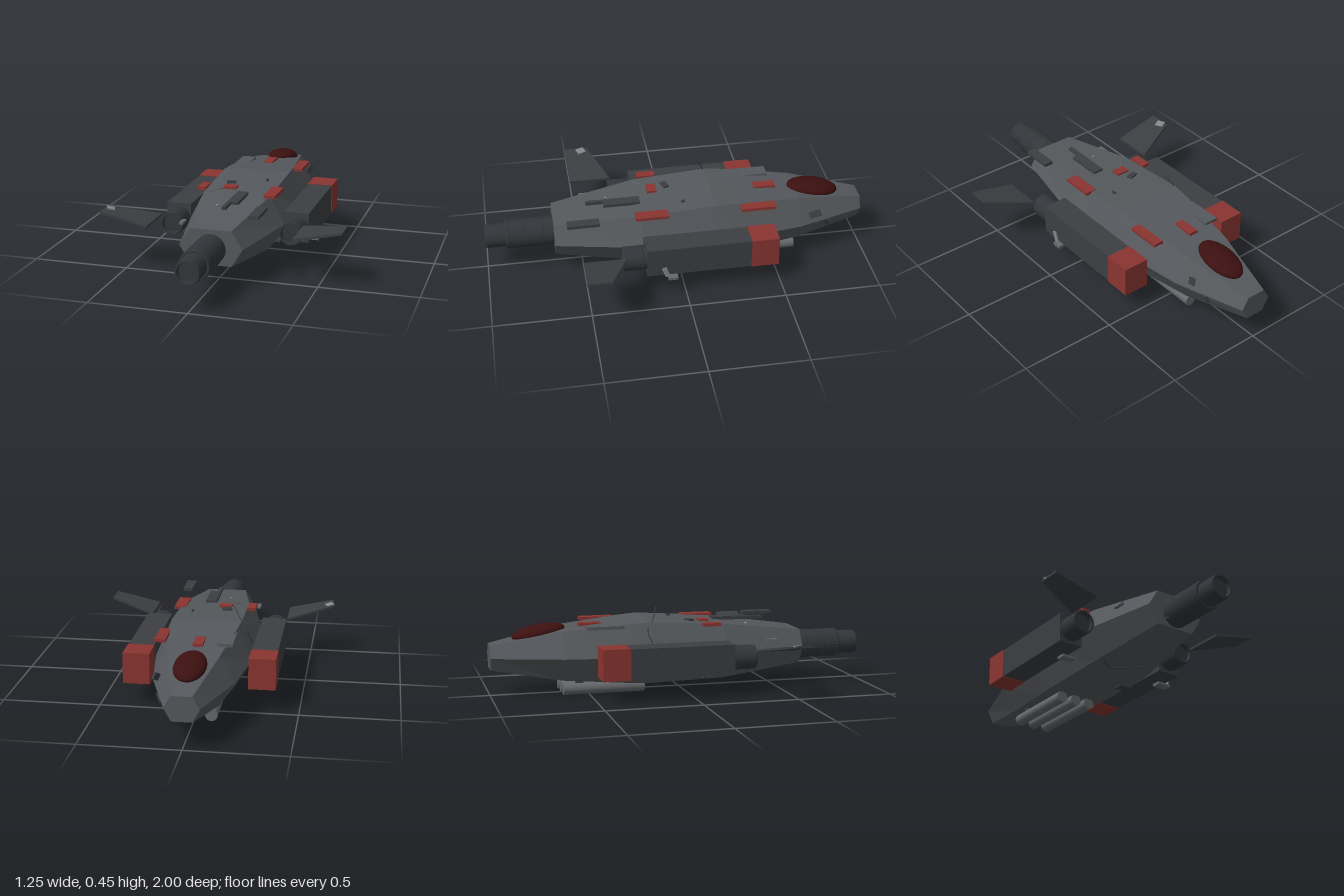
import * as THREE from 'three';

const mat = (color, extra = {}) => new THREE.MeshStandardMaterial({ color, ...extra });
const hullMat = mat(0x55585c, { flatShading: true });
const podMat = mat(0x3c3e42, { flatShading: true });
const engineMat = mat(0x33353a, { side: THREE.DoubleSide });
const redMat = mat(0x8a3530, { flatShading: true });
const glassMat = mat(0x3c1010);
const greyMat = mat(0x66686b);
const paleMat = mat(0x85878a);

function add(parent, name, geometry, material, pos = [0, 0, 0], rot = [0, 0, 0]) {
  const m = new THREE.Mesh(geometry, material);
  m.name = name;
  m.position.set(...pos);
  m.rotation.set(...rot);
  parent.add(m);
  return m;
}
const box = (w, h, d) => new THREE.BoxGeometry(w, h, d);

// Hexagonal hull lofted along z: [z, topY, bottomY, topHalf, midHalf, bottomHalf]
function hullGeometry() {
  const sections = [
    [-1, 0.275, 0.15, 0.05, 0.085, 0.05],
    [-0.64, 0.345, 0.092, 0.125, 0.2, 0.12],
    [-0.3, 0.378, 0.07, 0.17, 0.248, 0.16],
    [-0.19, 0.385, 0.066, 0.18, 0.25, 0.17],
    [0.2, 0.36, 0.075, 0.175, 0.25, 0.165],
    [0.645, 0.305, 0.125, 0.105, 0.16, 0.105],
  ];
  const pos = [], idx = [];
  for (const [z, top, bot, t, w, b] of sections) {
    for (const [x, y] of [[t, top], [-t, top], [-w, 0.215], [-b, bot], [b, bot], [w, 0.215]]) pos.push(x, y, z);
  }
  const last = (sections.length - 1) * 6;
  for (let i = 0; i < last; i += 6) {
    for (let j = 0; j < 6; j++) {
      const k = (j + 1) % 6;
      idx.push(i + j, i + k, i + 6 + k, i + j, i + 6 + k, i + 6 + j);
    }
  }
  for (let j = 1; j < 5; j++) idx.push(0, j + 1, j, last, last + j, last + j + 1);
  const g = new THREE.BufferGeometry();
  g.setAttribute('position', new THREE.Float32BufferAttribute(pos, 3));
  g.setIndex(idx);
  const flat = g.toNonIndexed();
  flat.computeVertexNormals();
  return flat;
}

// Round nozzle with a recessed mouth, running along +z
function nozzle(r, length) {
  const pts = [[r * 0.95, 0], [r, 0.01], [r, length - 0.01], [r * 0.96, length],
    [r * 0.82, length], [r * 0.78, length - 0.025], [0, length - 0.025]];
  const g = new THREE.LatheGeometry(pts.map(([x, y]) => new THREE.Vector2(x, y)), 28).toNonIndexed();
  g.rotateX(Math.PI / 2);
  g.computeVertexNormals();
  return g;
}

// Swept wing plate rising toward its tip
function wingGeometry(side) {
  const shape = new THREE.Shape([[0.375, 0.3], [0.622, 0.4], [0.622, 0.525], [0.375, 0.52]]
    .map(([x, z]) => new THREE.Vector2(x * side, z)));
  const g = new THREE.ExtrudeGeometry(shape, { depth: 0.012, bevelEnabled: false });
  g.rotateX(Math.PI / 2);
  const p = g.attributes.position;
  for (let i = 0; i < p.count; i++) p.setY(i, p.getY(i) + 0.252 + (Math.abs(p.getX(i)) - 0.375) * 0.22);
  g.computeVertexNormals();
  return g;
}

function cableGeometry(points, r = 0.002) {
  return new THREE.TubeGeometry(new THREE.CatmullRomCurve3(points.map(p => new THREE.Vector3(...p))), 12, r, 6);
}

export function createModel() {
  const ship = new THREE.Group();
  ship.name = 'ship';
  add(ship, 'hull', hullGeometry(), hullMat);

  // Canopy, tilted to follow the nose
  const canopy = add(ship, 'canopy', new THREE.SphereGeometry(1, 28, 18), glassMat, [0, 0.328, -0.745], [-0.17, 0, 0]);
  canopy.scale.set(0.08, 0.042, 0.14);

  // Main engine in two steps
  add(ship, 'mainEngine', nozzle(0.076, 0.265), engineMat, [0, 0.207, 0.63]);
  add(ship, 'mainNozzle', nozzle(0.063, 0.14), engineMat, [0, 0.207, 0.86]);
  for (const z of [0.7, 0.8, 0.88]) {
    add(ship, 'engineBand', new THREE.TorusGeometry(0.075, 0.003, 6, 28), engineMat, [0, 0.207, z]);
  }

  // Side pods, intakes, nozzles and wings
  for (const s of [-1, 1]) {
    const side = new THREE.Group();
    side.name = s > 0 ? 'leftSide' : 'rightSide';
    ship.add(side);
    add(side, 'pod', box(0.13, 0.155, 0.54), podMat, [s * 0.315, 0.207, -0.07]);
    add(side, 'podIntake', box(0.136, 0.16, 0.142), redMat, [s * 0.315, 0.207, -0.412]);
    add(side, 'podNozzle', nozzle(0.062, 0.13), engineMat, [s * 0.315, 0.207, 0.19]);
    add(side, 'podNozzleCollar', new THREE.TorusGeometry(0.06, 0.004, 6, 28), engineMat, [s * 0.315, 0.207, 0.22]);
    add(side, 'wing', wingGeometry(s), podMat);
  }

  // Three tubes under the belly
  for (const x of [-0.085, 0, 0.085]) {
    const tube = new THREE.CylinderGeometry(0.031, 0.031, 0.425, 20).rotateX(Math.PI / 2);
    add(ship, 'bellyTube', tube, greyMat, [x, 0.041, -0.422]);
    for (const z of [-0.55, -0.29]) add(ship, 'tubeMount', box(0.02, 0.04, 0.04), podMat, [x, 0.08, z]);
  }

  // Raised panels on the back: [x, z, width, length, y, material]
  const panels = [
    [-0.005, -0.48, 0.05, 0.115, 0.363, redMat],
    [0.19, -0.41, 0.055, 0.18, 0.365, redMat],
    [-0.2, 0.125, 0.045, 0.095, 0.365, redMat],
    [-0.058, 0.115, 0.07, 0.05, 0.368, redMat],
    [0.18, 0.145, 0.062, 0.17, 0.364, redMat],
    [-0.138, -0.425, 0.075, 0.19, 0.362, hullMat],
    [0.033, 0.285, 0.054, 0.19, 0.364, podMat],
    [0.012, 0.33, 0.02, 0.28, 0.362, podMat],
    [0.196, 0.5, 0.052, 0.165, 0.362, podMat],
  ];
  for (const [x, z, w, l, y, m] of panels) add(ship, 'dorsalPanel', box(w, 0.016, l), m, [x, y, z]);

  // Small fittings and loose plates: [x, y, z, w, h, d, rx, ry, rz, material]
  const fittings = [
    [0.165, 0.262, -0.725, 0.012, 0.035, 0.06, 0.5, -0.3, 0.4, podMat],
    [0.135, 0.19, -0.795, 0.012, 0.045, 0.04, 0, -0.3, -0.4, podMat],
    [-0.6, 0.302, 0.435, 0.04, 0.008, 0.045, 0, 0.4, -0.22, paleMat],
    [-0.06, 0.158, 0.66, 0.02, 0.012, 0.02, 0, 0, 0, podMat],
    [-0.25, 0.116, 0.07, 0.08, 0.014, 0.05, 0, 0, 0, greyMat],
    [0.368, 0.119, 0.07, 0.08, 0.014, 0.05, 0, 0, 0, greyMat],
    [0.384, 0.148, 0.105, 0.006, 0.055, 0.025, 0.35, 0, 0, paleMat],
    [-0.205, 0.27, 0.46, 0.02, 0.012, 0.06, 0, 0, 0, greyMat],
    [-0.06, 0.325, 0.335, 0.018, 0.06, 0.008, 1, 0.5, 0, paleMat],
    [-0.075, 0.37, 0.04, 0.05, 0.02, 0.03, 0, 0.3, 0, podMat],
    [0.1, 0.375, -0.03, 0.01, 0.02, 0.02, 0, 0, 0, podMat],
    [0.15, 0.07, 0.02, 0.08, 0.012, 0.05, 0, 0, 0, podMat],
  ];
  for (const [x, y, z, w, h, d, rx, ry, rz, m] of fittings) add(ship, 'fitting', box(w, h, d), m, [x, y, z], [rx, ry, rz]);

  // Antenna and surface cables
  add(ship, 'antenna', cableGeometry([[-0.18, 0.378, -0.187], [-0.157, 0.42, -0.17], [-0.135, 0.455, -0.155]], 0.0025), podMat);
  add(ship, 'cable', cableGeometry([[-0.235, 0.27, -0.19], [-0.205, 0.345, -0.215], [-0.15, 0.384, -0.185]], 0.003), podMat);
  add(ship, 'cable', cableGeometry([[-0.14, 0.362, 0.2], [-0.11, 0.37, 0.17], [-0.09, 0.366, 0.14]], 0.003), greyMat);
  add(ship, 'bellyCable', cableGeometry([[-0.15, 0.078, 0.25], [-0.06, 0.07, 0.19], [0.03, 0.074, 0.24], [0.1, 0.08, 0.3]], 0.003), podMat);
  return ship;
}
